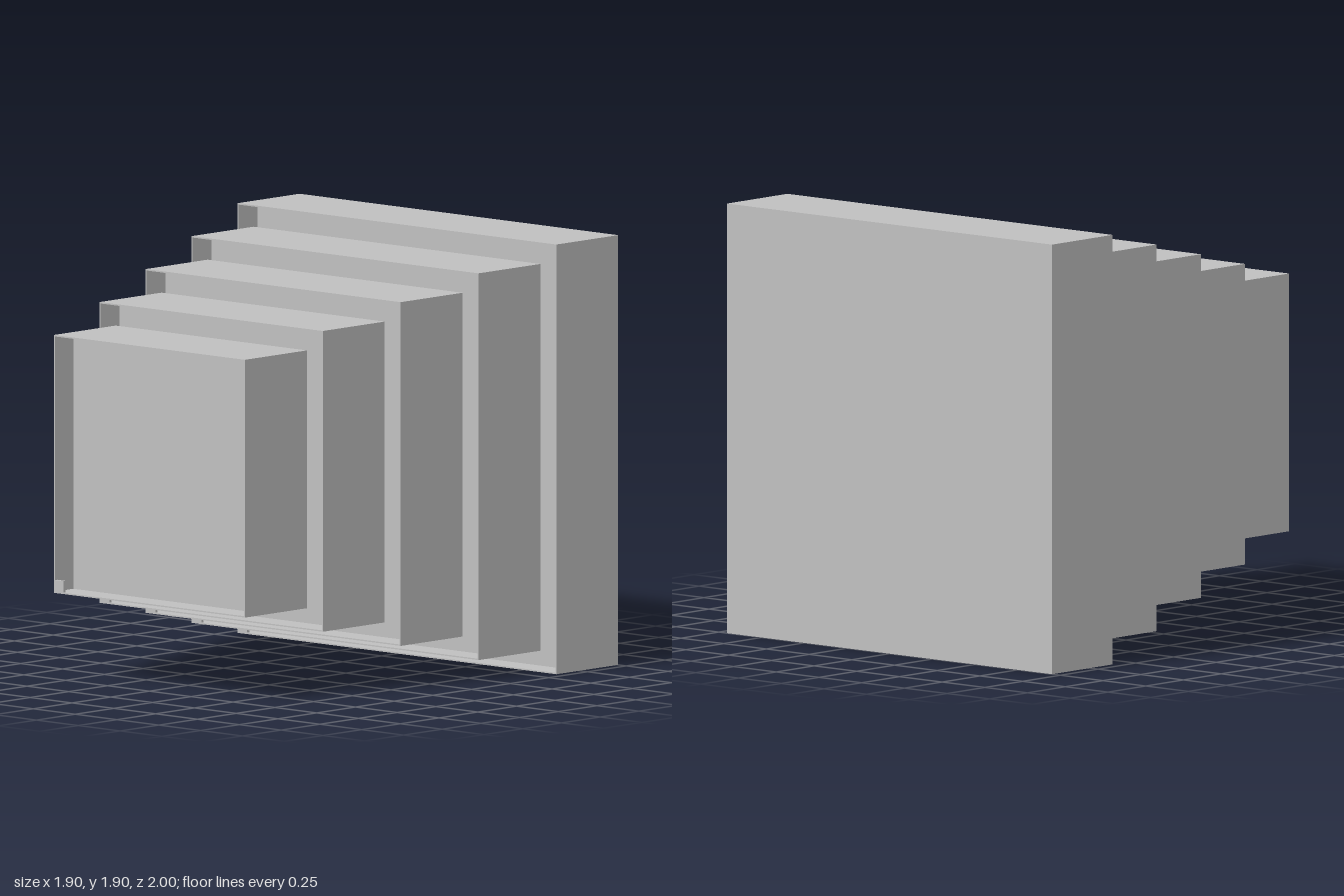
import * as THREE from 'three';

const TIERS = 5, DEPTH = 0.4, RECESS = 0.12, WALL = 0.006, TAB = 0.057;
const CENTRE_Y = 0.952;

const square = (Type, half) => new Type([
  new THREE.Vector2(-half, -half), new THREE.Vector2(half, -half),
  new THREE.Vector2(half, half), new THREE.Vector2(-half, half),
]);

function createTier(half, material) {
  const tier = new THREE.Group();
  const add = (name, geometry, x, y, z) => {
    const mesh = new THREE.Mesh(geometry, material);
    mesh.name = name;
    mesh.position.set(x, y, z);
    tier.add(mesh);
  };

  // Solid rear block; its front face is the recessed panel
  const bodyDepth = DEPTH - RECESS;
  add('body', new THREE.BoxGeometry(half * 2, half * 2, bodyDepth), 0, 0, bodyDepth / 2);

  // Thin rim around the recess
  const outline = square(THREE.Shape, half);
  outline.holes.push(square(THREE.Path, half - WALL));
  add('rim', new THREE.ExtrudeGeometry(outline, { depth: RECESS, bevelEnabled: false }), 0, 0, bodyDepth);

  // Small square tab in the lower corner, flush with the rim
  const thickness = 0.015;
  add('cornerTab', new THREE.BoxGeometry(TAB, TAB, thickness),
    -half + TAB / 2, -half + TAB / 2, DEPTH - thickness / 2);
  return tier;
}

export function createModel() {
  const model = new THREE.Group();
  model.name = 'steppedBoxes';
  const grey = new THREE.MeshStandardMaterial({ color: 0xc0c0c0 });
  grey.name = 'light grey';

  // Tiers shrink evenly from back to front
  for (let i = 0; i < TIERS; i++) {
    const tier = createTier(0.952 - i * 0.0952, grey);
    tier.name = `tier${i + 1}`;
    tier.position.set(0, CENTRE_Y, -1 + i * DEPTH);
    model.add(tier);
  }
  return model;
}
